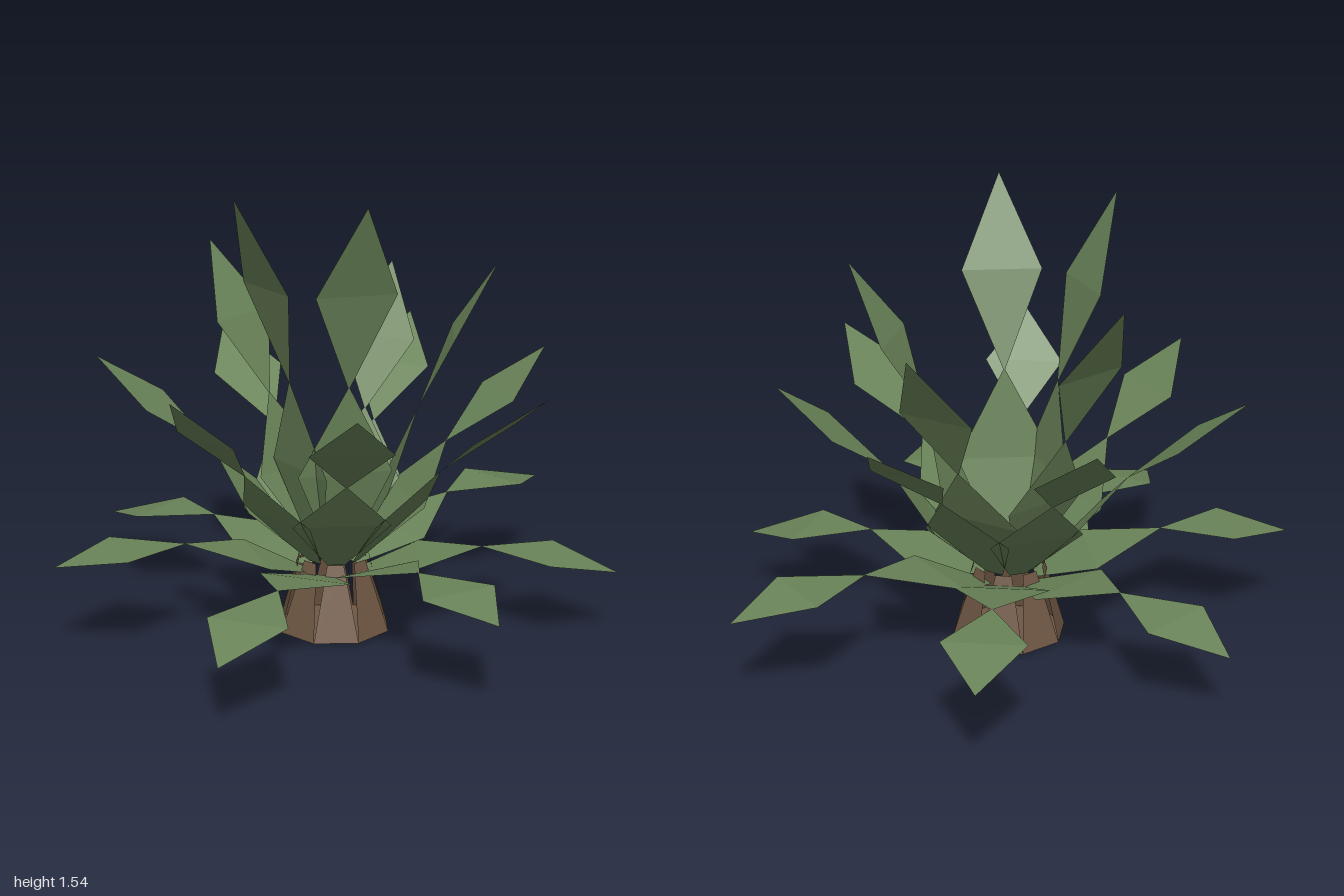
import * as THREE from 'three';

// Half-widths along a leaf: base, lower widest, pinch, upper widest, tip
const LEAF_WIDTHS = [0.03, 0.165, 0.003, 0.138, 0];

// Flat strip from cross-sections: [radius, height] points, each with a half-width
function stripGeometry(points, widths) {
  const pos = [], idx = [];
  points.forEach(([r, y], i) => {
    pos.push(-widths[i], y, r, widths[i], y, r);
    if (i > 0) {
      const a = (i - 1) * 2;
      if (widths[i - 1] > 0) idx.push(a, a + 1, a + 3);
      if (widths[i] > 0) idx.push(a, a + 3, a + 2);
      else idx.splice(idx.length - 3, 3, a, a + 1, a + 2);
    }
  });
  const g = new THREE.BufferGeometry();
  g.setAttribute('position', new THREE.Float32BufferAttribute(pos, 3));
  g.setIndex(idx);
  const flat = g.toNonIndexed();
  flat.computeVertexNormals();
  return flat;
}

export function createModel() {
  const model = new THREE.Group();
  model.name = 'plant';
  const plant = new THREE.Group();
  plant.name = 'plantBody';
  plant.position.z = -0.04;
  model.add(plant);

  const leafGreen = new THREE.MeshStandardMaterial({ color: 0x6a8459, side: THREE.DoubleSide, flatShading: true });
  leafGreen.name = 'leafGreen';
  const barkBrown = new THREE.MeshStandardMaterial({ color: 0x705844, side: THREE.DoubleSide, flatShading: true });
  barkBrown.name = 'barkBrown';

  const addStrip = (parent, name, material, angle, points, widths) => {
    const mesh = new THREE.Mesh(stripGeometry(points, widths), material);
    mesh.name = name;
    mesh.rotation.y = THREE.MathUtils.degToRad(angle);
    parent.add(mesh);
  };

  // Trunk: eight tapering bark plates around an octagonal base
  const trunk = new THREE.Group();
  trunk.name = 'trunk';
  plant.add(trunk);
  for (let i = 0; i < 8; i++) {
    addStrip(trunk, 'barkPlate', barkBrown, 22.5 + i * 45, [[0.185, 0], [0.12, 0.26]], [0.0765, 0.028]);
  }
  const base = new THREE.Mesh(new THREE.CircleGeometry(0.2, 8), barkBrown);
  base.name = 'trunkBase';
  base.rotation.x = Math.PI / 2;
  trunk.add(base);

  // Leaf rings: each profile is [angle, points]; off-centre leaves are mirrored
  const rings = {
    lowerLeaf: [
      [0, [[0.09, 0.21], [0.28, 0.265], [0.53, 0.31], [0.79, 0.295], [1.03, 0.235]]],
      [360 / 7, [[0.09, 0.21], [0.28, 0.29], [0.53, 0.355], [0.76, 0.36], [0.98, 0.32]]],
      [720 / 7, [[0.09, 0.21], [0.28, 0.265], [0.51, 0.31], [0.75, 0.295], [0.977, 0.235]]],
      [1080 / 7, [[0.09, 0.21], [0.28, 0.29], [0.57, 0.355], [0.82, 0.36], [1.065, 0.31]]],
    ],
    middleLeaf: [
      [180 / 7, [[0.09, 0.25], [0.27, 0.45], [0.41, 0.63], [0.58, 0.79], [0.725, 0.94]]],
      [540 / 7, [[0.09, 0.25], [0.27, 0.45], [0.42, 0.63], [0.62, 0.79], [0.82, 0.94]]],
      [900 / 7, [[0.09, 0.25], [0.27, 0.45], [0.41, 0.63], [0.6, 0.79], [0.775, 0.94]]],
      [180, [[0.09, 0.25], [0.27, 0.45], [0.42, 0.63], [0.62, 0.79], [0.83, 0.94]]],
    ],
    upperLeaf: [
      [36, [[0.07, 0.28], [0.14, 0.59], [0.18, 0.9], [0.27, 1.23], [0.39, 1.54]]],
      [108, [[0.07, 0.28], [0.19, 0.54], [0.285, 0.79], [0.4, 1.05], [0.55, 1.3]]],
      [180, [[0.07, 0.28], [0.21, 0.49], [0.32, 0.7], [0.45, 0.93], [0.61, 1.175]]],
    ],
  };
  for (const [name, leaves] of Object.entries(rings)) {
    const ring = new THREE.Group();
    ring.name = name + 'Ring';
    plant.add(ring);
    for (const [angle, points] of leaves) {
      addStrip(ring, name, leafGreen, angle, points, LEAF_WIDTHS);
      if (angle > 0 && angle < 180) addStrip(ring, name, leafGreen, -angle, points, LEAF_WIDTHS);
    }
  }
  return model;
}
